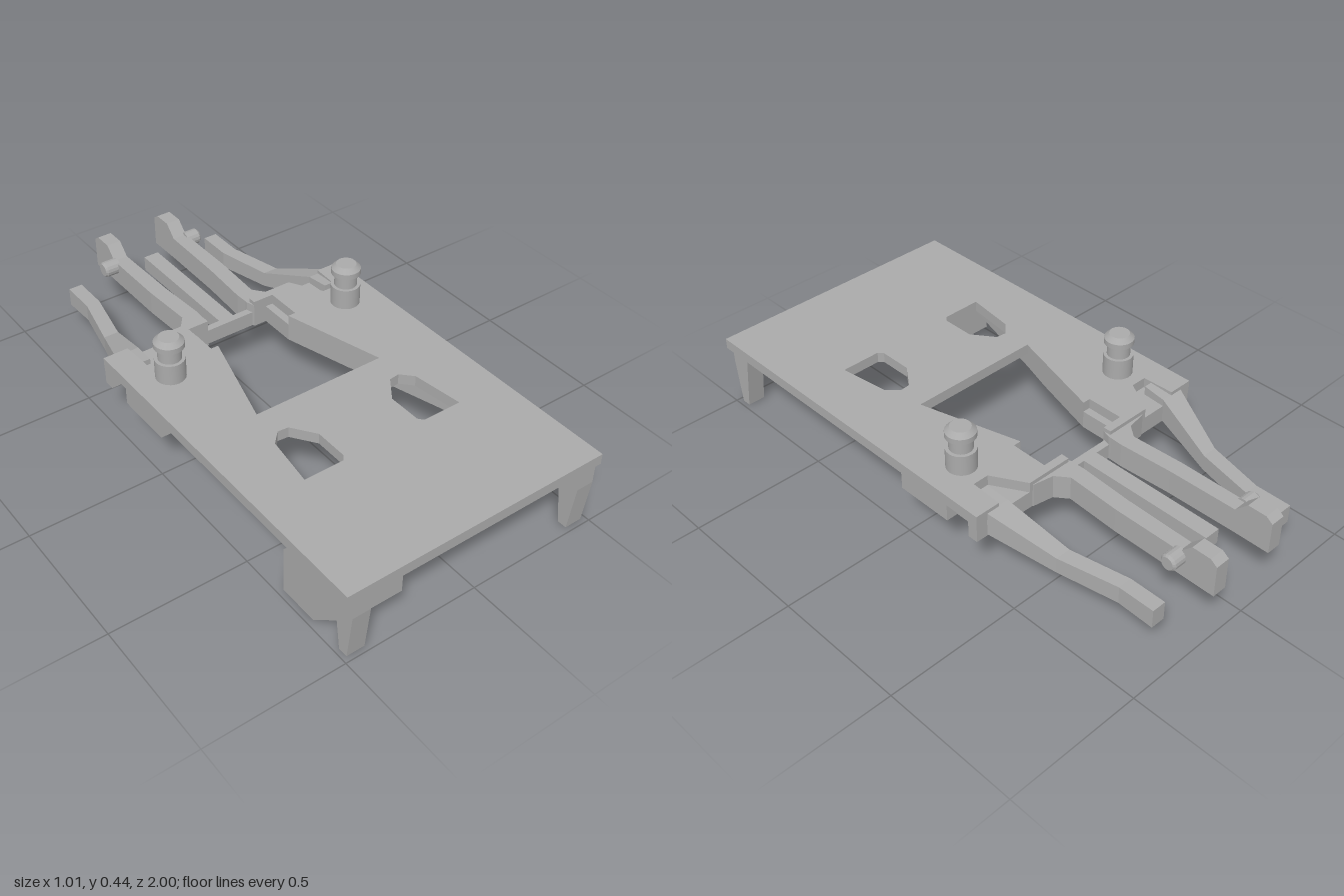
import * as THREE from 'three';

const grey = new THREE.MeshStandardMaterial({ color: 0xaaaaaa });
grey.name = 'grey plastic';

// Solid bar through rectangular sections [z, x0, x1, y0, y1], listed front to back.
function beam(sections, side = 1) {
  const pos = [];
  const rings = sections.map(([z, x0, x1, y0, y1]) => {
    const a = side > 0 ? x0 : -x1, b = side > 0 ? x1 : -x0;
    return [[a, y0, z], [b, y0, z], [b, y1, z], [a, y1, z]];
  });
  const quad = (a, b, c, d) => pos.push(...a, ...b, ...c, ...a, ...c, ...d);
  quad(...rings[0]);
  for (let i = 0; i + 1 < rings.length; i++) {
    const f = rings[i], r = rings[i + 1];
    for (let k = 0; k < 4; k++) {
      const n = (k + 1) % 4;
      quad(f[n], f[k], r[k], r[n]);
    }
  }
  quad(...[...rings[rings.length - 1]].reverse());
  const g = new THREE.BufferGeometry();
  g.setAttribute('position', new THREE.Float32BufferAttribute(pos, 3));
  g.computeVertexNormals();
  return g;
}

// Side profile in (z, y), extruded along x from x0 to x1.
function sideProfile(points, x0, x1) {
  const shape = new THREE.Shape(points.map(([z, y]) => new THREE.Vector2(-z, y)));
  const g = new THREE.ExtrudeGeometry(shape, { depth: x1 - x0, bevelEnabled: false });
  return g.rotateY(Math.PI / 2).translate(x0, 0, 0);
}

function box(x0, x1, y0, y1, z0, z1) {
  return new THREE.BoxGeometry(x1 - x0, y1 - y0, z1 - z0)
    .translate((x0 + x1) / 2, (y0 + y1) / 2, (z0 + z1) / 2);
}

export function createModel() {
  const model = new THREE.Group();
  model.name = 'clipFrame';
  const add = (name, geometry) => {
    const mesh = new THREE.Mesh(geometry, grey);
    mesh.name = name;
    model.add(mesh);
    return mesh;
  };
  const plan = (pts, s = 1) => pts.map(([x, z]) => new THREE.Vector2(s * x, -z));

  // Deck: half outline mirrored, open at the back, with two windows
  const half = [[0.505, 1], [0.505, -0.34], [0.41, -0.34], [0.405, -0.22], [0.345, -0.22],
    [0.275, -0.34], [0.1, -0.34], [0.1, -0.31], [0.18, -0.31], [0.18, -0.17], [0.15, -0.17], [0.255, 0.21]];
  const deck = new THREE.Shape([...plan(half), ...plan([...half].reverse(), -1)]);
  const windowPts = [[0.15, 0.405], [0.15, 0.53], [0.165, 0.548], [0.315, 0.548],
    [0.29, 0.36], [0.25, 0.318], [0.21, 0.322]];
  for (const s of [1, -1]) deck.holes.push(new THREE.Path(plan(windowPts, s)));
  add('deck', new THREE.ExtrudeGeometry(deck, { depth: 0.04, bevelEnabled: false })
    .rotateX(-Math.PI / 2).translate(0, 0.245, 0));

  for (const s of [1, -1]) {
    const side = s > 0 ? 'left' : 'right';
    const sideBox = (x0, x1, ...rest) => s > 0 ? box(x0, x1, ...rest) : box(-x1, -x0, ...rest);

    // Tapered rail under the deck, following the opening
    add(side + 'Rail', beam([
      [0.72, 0.4, 0.46, 0.243, 0.246], [0.62, 0.365, 0.46, 0.2, 0.246],
      [0.21, 0.256, 0.46, 0.19, 0.246], [0.09, 0.222, 0.46, 0.183, 0.246],
      [-0.17, 0.151, 0.46, 0.18, 0.246], [-0.339, 0.151, 0.46, 0.18, 0.246],
    ], s));

    // Outer blocks on the deck edge
    add(side + 'EdgeBlock', sideBox(0.44, 0.504, 0.18, 0.246, -0.2, 0.02));
    add(side + 'RearEdgeBlock', sideBox(0.41, 0.504, 0.18, 0.246, -0.339, -0.3));

    // Front leg
    add(side + 'FrontLeg', beam([
      [0.999, 0.415, 0.482, 0.18, 0.246], [0.98, 0.415, 0.482, 0.003, 0.246],
      [0.945, 0.415, 0.482, 0.003, 0.246], [0.91, 0.415, 0.482, 0.24, 0.246],
    ], s));

    // Bent outer arm dropping down to the back
    add(side + 'OuterArm', beam([
      [-0.25, 0.375, 0.405, 0.2, 0.28], [-0.338, 0.37, 0.46, 0.185, 0.272],
      [-0.565, 0.325, 0.382, 0.125, 0.184], [-0.78, 0.28, 0.333, 0.115, 0.18],
      [-0.915, 0.28, 0.333, 0.11, 0.18],
    ], s));

    // Inner arm with flared root and raised hook
    add(side + 'InnerArm', beam([
      [-0.31, 0.1, 0.27, 0.18, 0.27], [-0.342, 0.09, 0.26, 0.18, 0.27],
      [-0.355, 0.09, 0.185, 0.18, 0.27], [-0.4, 0.088, 0.15, 0.18, 0.27],
      [-0.6, 0.1, 0.16, 0.18, 0.27], [-0.86, 0.105, 0.16, 0.18, 0.27],
      [-0.905, 0.105, 0.16, 0.18, 0.316], [-0.975, 0.105, 0.16, 0.18, 0.316],
      [-1, 0.105, 0.16, 0.18, 0.298],
    ], s));

    // Peg on the outside of the inner arm
    const peg = add(side + 'Peg', new THREE.LatheGeometry(
      [[0, 0], [0.03, 0], [0.03, 0.052], [0.023, 0.06], [0, 0.06]].map(p => new THREE.Vector2(...p)), 16)
      .toNonIndexed());
    peg.geometry.computeVertexNormals();
    peg.rotation.z = -s * Math.PI / 2;
    peg.position.set(s * 0.152, 0.25, -0.857);

    // Stepped post with a chamfered head
    const post = new THREE.Group();
    post.name = side + 'Post';
    post.position.set(s * 0.37, 0, -0.125);
    const postPart = (name, geometry, y) => {
      const mesh = new THREE.Mesh(geometry, grey);
      mesh.name = name;
      mesh.position.y = y;
      post.add(mesh);
    };
    postPart('postBase', new THREE.CylinderGeometry(0.053, 0.053, 0.08, 24), 0.322);
    postPart('postNeck', new THREE.CylinderGeometry(0.041, 0.041, 0.06, 24), 0.385);
    postPart('postHead', new THREE.CylinderGeometry(0.053, 0.053, 0.02, 24), 0.42);
    postPart('postTip', new THREE.CylinderGeometry(0.036, 0.053, 0.017, 24), 0.4385);
    model.add(post);
  }

  // Rear cross wall and centre bar
  add('crossWall', box(-0.105, 0.105, 0.18, 0.237, -0.345, -0.318));
  add('centreBar', box(-0.03, 0.03, 0.18, 0.237, -0.86, -0.34));

  // Sloped block under the front right corner
  add('cornerBlock', sideProfile([[0.998, 0.246], [0.998, 0.18], [0.83, 0.026], [0.68, 0.026],
    [0.68, 0.2], [0.73, 0.246]], -0.49, -0.3));

  // Small catch under the front edge
  add('catchBase', box(-0.06, 0.06, 0.225, 0.246, 0.9, 0.93));
  add('catchTip', box(-0.025, 0.025, 0.208, 0.23, 0.9, 0.94));

  return model;
}
